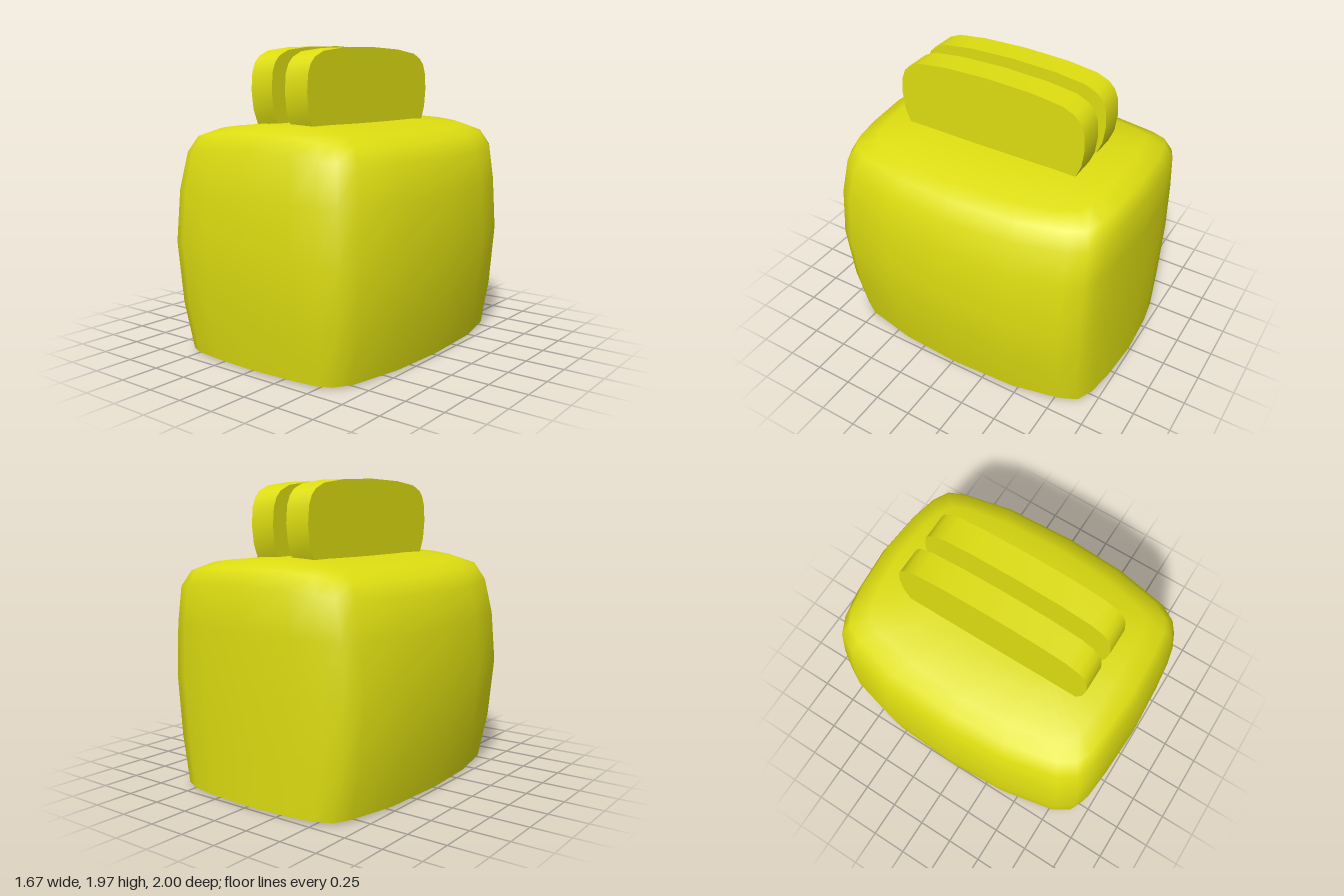
import * as THREE from 'three';
import { toCreasedNormals } from 'three/addons/utils/BufferGeometryUtils.js';

const material = new THREE.MeshStandardMaterial({ color: 0xdddd11 });

// Half of the plan outline (x, z) from the front centre round to the back centre, unit-scaled below
const HALF = [[0, 0.997], [0.35, 0.98], [0.55, 0.96], [0.655, 0.915], [0.73, 0.8], [0.81, 0.42],
  [0.835, 0], [0.81, -0.47], [0.73, -0.79], [0.67, -0.9], [0.55, -0.95], [0.35, -0.98], [0, -1]];
const OUTLINE = [...HALF, ...HALF.slice(1, -1).reverse().map(([x, z]) => [-x, z])];

// Levels of the body: [side height, half width, front depth, back depth, arch at the middle]
const LEVELS = [
  [0.01, 0.735, 0.94, 0.99, 0],
  [0.32, 0.797, 0.98, 0.995, 0],
  [0.72, 0.835, 1.0, 1.0, 0],
  [1.05, 0.81, 0.98, 1.0, 0.02],
  [1.27, 0.765, 0.935, 0.997, 0.07],
  [1.37, 0.7, 0.885, 0.95, 0.07],
  [1.42, 0.59, 0.76, 0.84, 0.065],
  [1.468, 0.31, 0.45, 0.5, 0.02],
];

function bodyGeometry() {
  const n = OUTLINE.length, positions = [], index = [];
  for (const [y, width, front, back, arch] of LEVELS) {
    for (const [x, z] of OUTLINE) {
      const u = x / 0.835;
      positions.push(u * width, y + arch * (1 - u * u), z * (z > 0 ? front : back));
    }
  }
  const top = LEVELS.length * n, bottom = top + 1;
  positions.push(0, 1.49, 0, 0, 0, 0);
  for (let i = 0; i < n; i++) {
    const j = (i + 1) % n;
    for (let k = 0; k < LEVELS.length - 1; k++) {
      const a = k * n + i, b = k * n + j;
      index.push(a, b, b + n, a, b + n, a + n);
    }
    index.push(top - n + i, top - n + j, top, j, i, bottom);
  }
  const geometry = new THREE.BufferGeometry();
  geometry.setAttribute('position', new THREE.Float32BufferAttribute(positions, 3));
  geometry.setIndex(index);
  return toCreasedNormals(geometry, Math.PI / 3);
}

// Bread slice: mirrored side profile (z, y), extruded across x
function sliceGeometry(width) {
  const side = [[0.56, 1.38], [0.6, 1.47], [0.64, 1.57], [0.655, 1.69], [0.645, 1.8], [0.62, 1.86],
    [0.58, 1.9], [0.5, 1.935], [0.3, 1.96]];
  const points = [...side, [0, 1.97], ...side.slice().reverse().map(([z, y]) => [-z, y])];
  const shape = new THREE.Shape(points.map(([z, y]) => new THREE.Vector2(z, y)));
  const geometry = new THREE.ExtrudeGeometry(shape, { depth: width, bevelEnabled: false });
  geometry.translate(0, 0, -width / 2).rotateY(-Math.PI / 2);
  return toCreasedNormals(geometry, Math.PI / 4);
}

export function createModel() {
  const group = new THREE.Group();
  group.name = 'toaster';
  const add = (name, geometry) => {
    const mesh = new THREE.Mesh(geometry, material);
    mesh.name = name;
    group.add(mesh);
    return mesh;
  };
  add('body', bodyGeometry());
  add('rightSlice', sliceGeometry(0.17)).position.set(-0.14, 0, 0);
  add('leftSlice', sliceGeometry(0.175)).position.set(0.138, -0.01, 0);
  return group;
}
